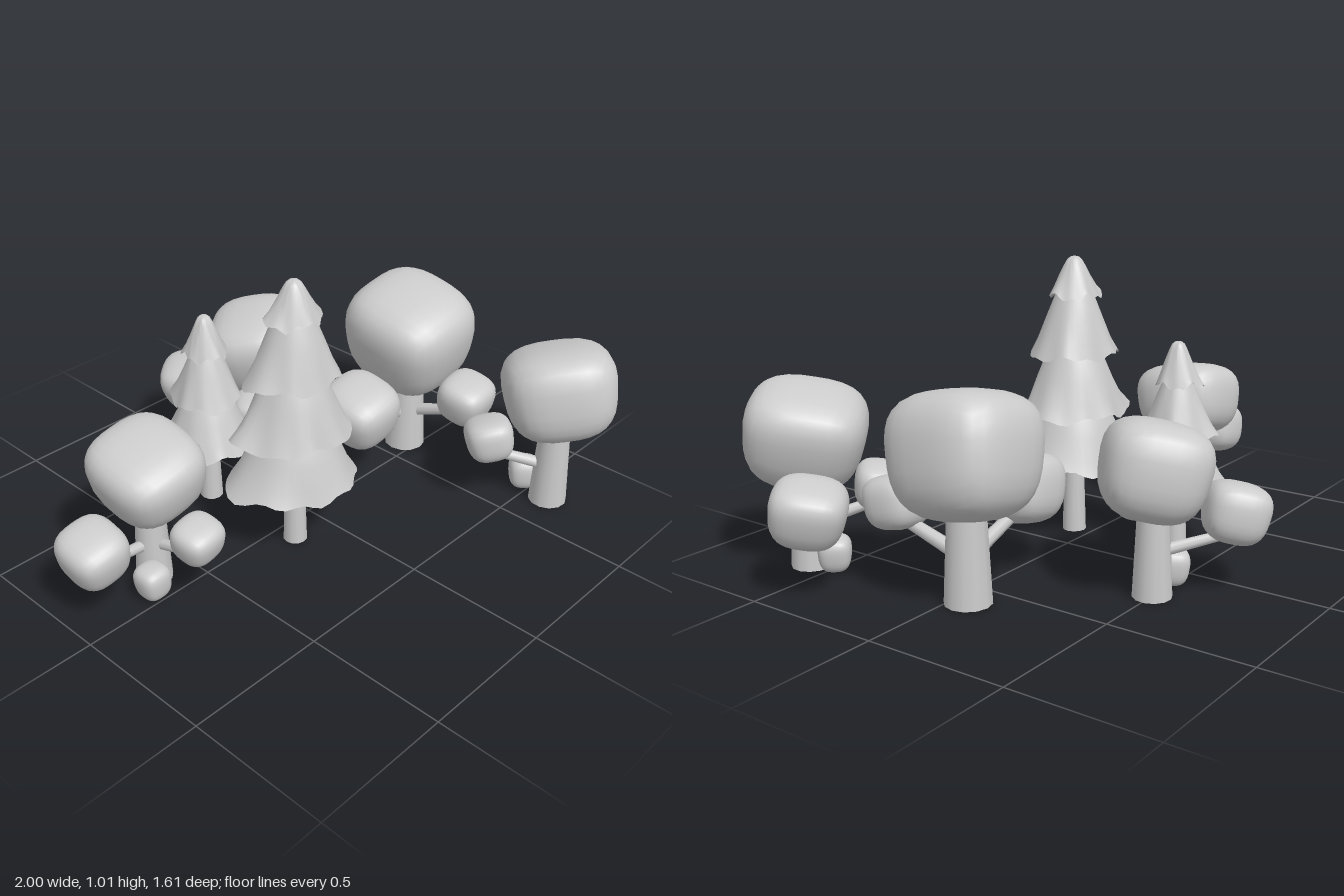
import * as THREE from 'three';
import { mergeVertices, toCreasedNormals } from 'three/addons/utils/BufferGeometryUtils.js';

const material = new THREE.MeshStandardMaterial({ color: 0xcccccc, side: THREE.DoubleSide });

function add(parent, name, geometry, x = 0, y = 0, z = 0) {
  const mesh = new THREE.Mesh(geometry, material);
  mesh.name = name;
  mesh.position.set(x, y, z);
  parent.add(mesh);
  return mesh;
}

// Rounded cube, a little wider at the top than at the bottom
function softCube(w, h, d, n = 2.9) {
  let g = new THREE.BoxGeometry(2, 2, 2, 8, 8, 8);
  g.deleteAttribute('uv');
  g.deleteAttribute('normal');
  g = mergeVertices(g);
  const p = g.attributes.position;
  const v = new THREE.Vector3();
  for (let i = 0; i < p.count; i++) {
    v.fromBufferAttribute(p, i);
    const len = Math.pow(Math.abs(v.x) ** n + Math.abs(v.y) ** n + Math.abs(v.z) ** n, 1 / n);
    v.divideScalar(len);
    const taper = 0.99 + 0.08 * v.y;
    p.setXYZ(i, v.x * taper * w / 2, v.y * h / 2, v.z * taper * d / 2);
  }
  g.computeVertexNormals();
  return g;
}

// Thin limb between two points
function branch(parent, a, b, r) {
  const from = new THREE.Vector3(...a), to = new THREE.Vector3(...b);
  const dir = to.clone().sub(from);
  const g = new THREE.CylinderGeometry(r * 0.8, r, dir.length(), 8, 1, true);
  const mesh = add(parent, 'branch', g);
  mesh.position.copy(from).addScaledVector(dir, 0.5);
  mesh.quaternion.setFromUnitVectors(new THREE.Vector3(0, 1, 0), dir.normalize());
}

// Leafy tree: tall crown, two smaller crowns on branches and a low bud
function leafyTree({ x, z, turn, s, crownY, crownH, sideY, smallY, bud }) {
  const tree = new THREE.Group();
  tree.name = 'leafyTree';
  tree.position.set(x, 0, z);
  tree.rotation.y = turn;

  const trunk = new THREE.CylinderGeometry(0.055 * s, 0.079 * s, crownY, 12, 1, true);
  add(tree, 'trunk', trunk, 0, crownY / 2, 0);

  const crown = add(tree, 'crown', softCube(0.425 * s, crownH * 0.96, 0.45 * s), 0, crownY, 0);
  crown.rotation.set(0.18, 0, 0.22);

  const side = add(tree, 'sideCrown', softCube(0.26 * s, 0.24 * s, 0.275 * s), -0.32 * s, sideY, 0.035 * s);
  side.rotation.set(0.18, 0, 0.22);

  const small = add(tree, 'smallCrown', softCube(0.205 * s, 0.18 * s, 0.195 * s), 0.025 * s, smallY, 0.265 * s);
  small.rotation.set(0.2, 0.1, 0.12);

  branch(tree, [0, 0.145, 0], [-0.27 * s, sideY - 0.07, 0.02 * s], 0.026 * s);
  branch(tree, [0, 0.145, 0], [0.02 * s, smallY - 0.06, 0.23 * s], 0.026 * s);

  if (bud) {
    const b = add(tree, 'bud', softCube(0.112, 0.125, 0.112), -0.075, 0.067, 0.085);
    b.rotation.z = 0.08;
  }
  return tree;
}

// One flared tier of needles with a wavy hem, one longer tip and a closed underside
function needleTier(top, hem, rTop, rHem, tip, stretch, seed) {
  const h = top - hem;
  const profile = [
    [0.02, hem + h * 0.35, 0], [rHem * 0.6, hem + h * 0.16, 0.5], [rHem, hem, 1],
    [rHem * 0.8 + rTop * 0.15, hem + h * 0.22, 0.6],
    [rTop + (rHem - rTop) * 0.48, hem + h * 0.55, 0.18],
    [rTop + (rHem - rTop) * 0.18, hem + h * 0.85, 0],
    [rTop, top, 0], [rTop * 0.6, top + rTop * 0.35, 0], [0, top + rTop * 0.5, 0],
  ];
  const segments = 40;
  const g = new THREE.LatheGeometry(profile.map(([r, y]) => new THREE.Vector2(r, y)), segments);
  const p = g.attributes.position;
  for (let i = 0; i < p.count; i++) {
    const w = profile[i % profile.length][2];
    const a = Math.floor(i / profile.length) / segments * Math.PI * 2;
    const angle = Math.atan2(Math.cos(a), Math.sin(a)); // from +x towards +z
    const wave = stretch * Math.cos(2 * (angle - tip)) + 0.18 * Math.exp(14 * (Math.cos(angle - tip) - 1))
      + 0.03 * Math.sin(5 * a + seed) + 0.02 * Math.sin(9 * a + seed * 2.3);
    const drop = 0.5 * Math.sin(4 * a + seed * 1.7) + 0.4 * Math.sin(9 * a + seed);
    p.setXYZ(i, p.getX(i) * (1 + w * wave), p.getY(i) + w * drop * 0.018, p.getZ(i) * (1 + w * wave));
  }
  g.deleteAttribute('uv');
  g.deleteAttribute('normal');
  return toCreasedNormals(mergeVertices(g), 0.9);
}

// Pine: slim trunk and stacked tiers given as [top, hem, top radius, hem radius]
function pineTree(x, z, trunkR, tip, stretch, tiers) {
  const tree = new THREE.Group();
  tree.name = 'pineTree';
  tree.position.set(x, 0, z);
  const trunkH = tiers[tiers.length - 1][0];
  add(tree, 'pineTrunk', new THREE.CylinderGeometry(trunkR * 0.65, trunkR, trunkH, 12, 1, true), 0, trunkH / 2, 0);
  tiers.forEach((t, i) => add(tree, 'needleTier', needleTier(...t, tip, stretch, i * 1.9 + 1.7)));
  return tree;
}

export function createModel() {
  const model = new THREE.Group();
  model.name = 'grove';

  const trees = [
    { x: -0.634, z: -0.12, turn: 0, s: 0.8, crownY: 0.423, crownH: 0.285, sideY: 0.25, smallY: 0.25, bud: true },
    { x: 0.615, z: -0.055, turn: 0, s: 1, crownY: 0.482, crownH: 0.425, sideY: 0.29, smallY: 0.29, bud: false },
    { x: 0.236, z: -0.498, turn: -0.9, s: 0.83, crownY: 0.417, crownH: 0.335, sideY: 0.265, smallY: 0.255, bud: true },
    { x: 0.672, z: 0.588, turn: -2.43, s: 0.89, crownY: 0.46, crownH: 0.355, sideY: 0.28, smallY: 0.27, bud: true },
  ];
  trees.forEach((t) => model.add(leafyTree(t)));

  model.add(pineTree(-0.148, 0.075, 0.043, -2.83, 0.08, [
    [0.995, 0.87, 0.026, 0.088],
    [0.9, 0.66, 0.055, 0.147],
    [0.69, 0.45, 0.085, 0.183],
    [0.49, 0.26, 0.11, 0.208],
  ]));
  model.add(pineTree(-0.17, -0.34, 0.042, -2.05, 0.02, [
    [0.735, 0.6, 0.022, 0.075],
    [0.63, 0.42, 0.04, 0.12],
    [0.45, 0.235, 0.07, 0.16],
  ]));
  return model;
}
